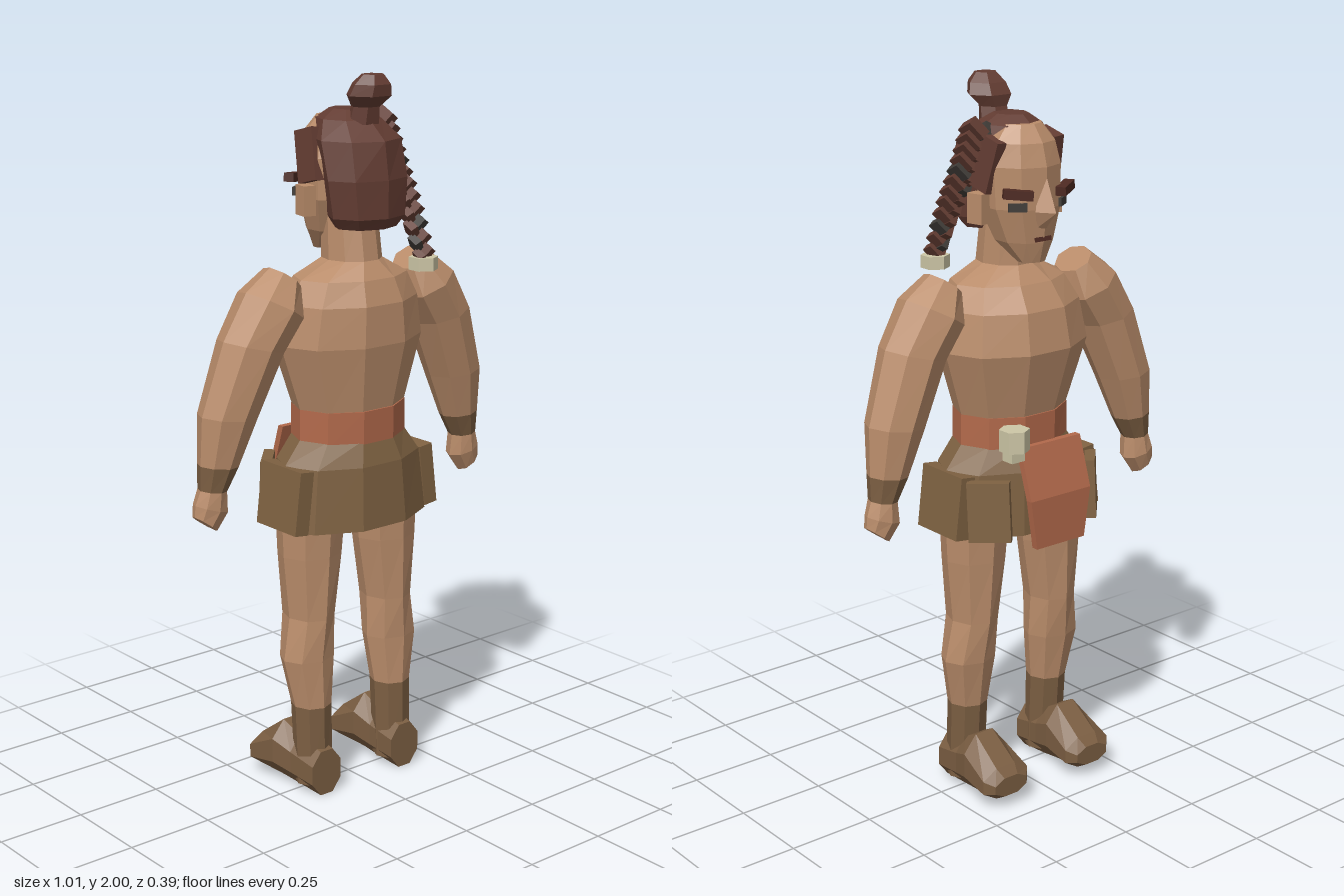
import * as THREE from 'three';

const mat = (name, color) => {
  const m = new THREE.MeshStandardMaterial({ color });
  m.name = name;
  return m;
};

export function createModel() {
  const root = new THREE.Group();
  root.name = 'warrior';
  const skin = mat('skin', 0xb98c6a), hide = mat('hide', 0x7f6242), boot = mat('boot leather', 0x7b5e42);
  const cloth = mat('rust cloth', 0xb2694b), hair = mat('brown hair', 0x633c32), dark = mat('dark hair', 0x403c38);
  const bone = mat('bone', 0xcdc6a6), browMat = mat('brow', 0x4e2a22);

  // Adds a faceted mesh
  function add(name, geo, material, pos = [0, 0, 0], rot = [0, 0, 0]) {
    const flat = geo.index ? geo.toNonIndexed() : geo;
    flat.computeVertexNormals();
    const m = new THREE.Mesh(flat, material);
    m.name = name;
    m.position.set(...pos);
    m.rotation.set(...rot);
    root.add(m);
    return m;
  }
  const box = (name, size, material, pos, rot) => add(name, new THREE.BoxGeometry(...size), material, pos, rot);

  // Skin over ellipses [x, y, z, ru, rv, tilt], listed upwards (or from -z to +z when alongZ)
  function loft(name, rings, n, material, alongZ = false, phase = 0) {
    const p = [], idx = [];
    for (const [x, y, z, ru, rv, t = 0] of rings) {
      for (let i = 0; i < n; i++) {
        const a = (i / n) * Math.PI * 2 + phase;
        const u = Math.cos(a) * ru, v = Math.sin(a) * rv;
        if (alongZ) p.push(x + u, y + v, z);
        else p.push(x + u * Math.cos(t), y + u * Math.sin(t), z - v);
      }
    }
    const last = rings.length - 1;
    for (let r = 0; r < last; r++) {
      for (let i = 0; i < n; i++) {
        const a = r * n + i, b = r * n + (i + 1) % n;
        idx.push(a, b, b + n, a, b + n, a + n);
      }
    }
    for (let i = 1; i < n - 1; i++) {
      idx.push(0, i + 1, i, last * n, last * n + i, last * n + i + 1);
    }
    const g = new THREE.BufferGeometry();
    g.setAttribute('position', new THREE.Float32BufferAttribute(p, 3));
    g.setIndex(idx);
    return add(name, g, material);
  }

  // Torso, neck and sash
  loft('torso', [
    [0, 1.1, 0, 0.165, 0.13], [0, 1.29, -0.008, 0.225, 0.172], [0, 1.4, 0, 0.205, 0.16],
    [0, 1.465, 0.01, 0.17, 0.125], [0, 1.51, 0.015, 0.08, 0.085], [0, 1.64, 0.005, 0.075, 0.075],
  ], 10, skin);
  loft('sash', [[0, 1.01, 0, 0.17, 0.135], [0, 1.11, 0, 0.168, 0.137]], 10, cloth);

  // Skirt
  loft('skirt', [
    [0, 0.785, 0, 0.245, 0.165], [0, 0.96, 0, 0.222, 0.153], [0, 1.03, 0, 0.165, 0.132],
  ], 10, hide);

  // Hanging cloth, bent over the skirt
  const flap = new THREE.BoxGeometry(0.21, 0.28, 0.02, 1, 2, 1);
  const fp = flap.attributes.position;
  for (let i = 0; i < fp.count; i++) {
    const y = fp.getY(i);
    fp.setX(i, fp.getX(i) * (y < -0.1 ? 0.8 : 1));
    fp.setZ(i, fp.getZ(i) + (y > 0.1 ? 0.045 : 0));
  }
  add('hangingCloth', flap, cloth, [-0.025, 0.89, -0.18]);

  // Sash knot
  add('sashKnot', new THREE.CylinderGeometry(0.042, 0.042, 0.06, 6), bone, [0.1, 1.06, -0.142]);
  box('sashKnotEnd', [0.045, 0.04, 0.04], bone, [0.1, 1.02, -0.14]);

  for (const s of [1, -1]) {
    const side = s > 0 ? 'left' : 'right';
    const m = (rings) => rings.map(([x, y, z, a, b, t = 0]) => [s * x, y, z, a, b, s * t]);

    // Hip panels
    box(side + 'HipPanel', [0.045, 0.175, 0.17], hide, [s * 0.222, 0.874, 0], [0, 0, s * 0.12]);
    box(side + 'FrontHipPanel', [0.115, 0.165, 0.03], hide, [s * 0.18, 0.872, -0.135], [0.06, -s * 0.82, 0]);

    // Arm, bracer and hand
    const wrist = [0.448, 0.935, -0.022, 0.038, 0.042, 0.1];
    const cuff = [0.43, 1.0, -0.02, 0.056, 0.055, 0.1];
    loft(side + 'Hand', m([
      [0.472, 0.845, -0.025, 0.04, 0.035, 0.65], [0.453, 0.885, -0.025, 0.05, 0.045, 0.3], wrist,
    ]), 8, skin);
    loft(side + 'Bracer', m([wrist, cuff]), 8, boot);
    loft(side + 'Arm', m([
      cuff, [0.4, 1.13, -0.015, 0.082, 0.078, 0.1], [0.33, 1.31, -0.003, 0.09, 0.092, 0.25],
      [0.265, 1.41, 0, 0.09, 0.1, 0.5], [0.225, 1.48, 0, 0.05, 0.062, 0.64],
    ]), 8, skin);

    // Leg and boot
    const top = [0.145, 0.26, 0.012, 0.056, 0.058];
    loft(side + 'Leg', m([
      top, [0.15, 0.4, 0, 0.08, 0.07], [0.14, 0.52, -0.005, 0.067, 0.08],
      [0.134, 0.7, -0.006, 0.09, 0.088], [0.13, 0.85, -0.006, 0.1, 0.095],
    ]), 8, skin);
    loft(side + 'BootShaft', m([[0.145, 0.03, 0.022, 0.055, 0.052], top]), 8, boot);
    loft(side + 'Foot', m([
      [0.15, 0.07, -0.19, 0.06, 0.03], [0.15, 0.075, -0.165, 0.085, 0.05], [0.15, 0.105, -0.07, 0.077, 0.092],
      [0.147, 0.085, -0.01, 0.062, 0.08], [0.145, 0.07, 0.08, 0.055, 0.071],
    ]), 8, boot, true, Math.PI / 8);

    // Ear, brow, eye and side lock
    box(side + 'Ear', [0.035, 0.08, 0.05], skin, [s * 0.125, 1.67, -0.025], [0, s * 0.2, 0]);
    box(side + 'Brow', [0.078, 0.024, 0.028], browMat, [s * 0.08, 1.715, -0.132], [0, -s * 0.55, s * 0.1]);
    box(side + 'Eye', [0.05, 0.022, 0.009], dark, [s * 0.076, 1.68, -0.126], [0, -s * 0.6, 0]);
    box(side + 'SideLock', [0.03, 0.14, 0.075], hair, [s * 0.104, 1.785, -0.035], [-0.25, 0, s * 0.1]);
  }

  // Head and nose
  loft('head', [
    [0, 1.525, -0.09, 0.04, 0.035], [0, 1.58, -0.055, 0.078, 0.085], [0, 1.67, -0.035, 0.11, 0.118],
    [0, 1.78, -0.03, 0.114, 0.122], [0, 1.84, -0.032, 0.1, 0.103], [0, 1.885, -0.04, 0.06, 0.06],
  ], 10, skin, false, Math.PI / 10);
  loft('nose', [
    [0, 1.62, -0.135, 0.02, 0.015], [0, 1.665, -0.145, 0.032, 0.045], [0, 1.75, -0.135, 0.014, 0.018],
  ], 4, skin);
  box('mouth', [0.05, 0.012, 0.009], browMat, [0, 1.59, -0.138], [0.25, 0, 0]);

  // Hair cap and top knot
  loft('hair', [
    [0, 1.6, 0.07, 0.09, 0.075], [0, 1.63, 0.075, 0.113, 0.09], [0, 1.73, 0.07, 0.126, 0.095],
    [0, 1.83, 0.035, 0.12, 0.115], [0, 1.88, 0, 0.085, 0.09], [0, 1.905, -0.005, 0.045, 0.05],
  ], 8, hair);
  loft('topKnot', [
    [0, 1.87, 0.06, 0.045, 0.045], [0, 1.915, 0.07, 0.04, 0.04], [0, 1.945, 0.085, 0.066, 0.06],
    [0, 1.975, 0.095, 0.056, 0.052], [0, 2.0, 0.1, 0.032, 0.03],
  ], 6, hair);

  // Braid made of crossing strands
  const path = new THREE.CatmullRomCurve3([
    new THREE.Vector3(0.105, 1.86, 0.0), new THREE.Vector3(0.125, 1.76, 0.03),
    new THREE.Vector3(0.132, 1.65, 0.09), new THREE.Vector3(0.13, 1.52, 0.155),
  ]);
  const steps = 11;
  for (let i = 0; i <= steps; i++) {
    const c = path.getPoint(i / steps), k = 1 - 0.35 * (i / steps);
    for (const s of [1, -1]) {
      box('braidStrand', [0.03 * k, 0.055 * k, 0.055 * k], (i * 2 + s + 1) % 5 === 0 ? dark : hair,
        [c.x + s * 0.015 * k, c.y + s * 0.008, c.z], [0.45, 0, -s * 0.6]);
    }
  }
  add('braidTie', new THREE.CylinderGeometry(0.04, 0.04, 0.035, 6), bone, [0.13, 1.498, 0.158]);

  return root;
}
